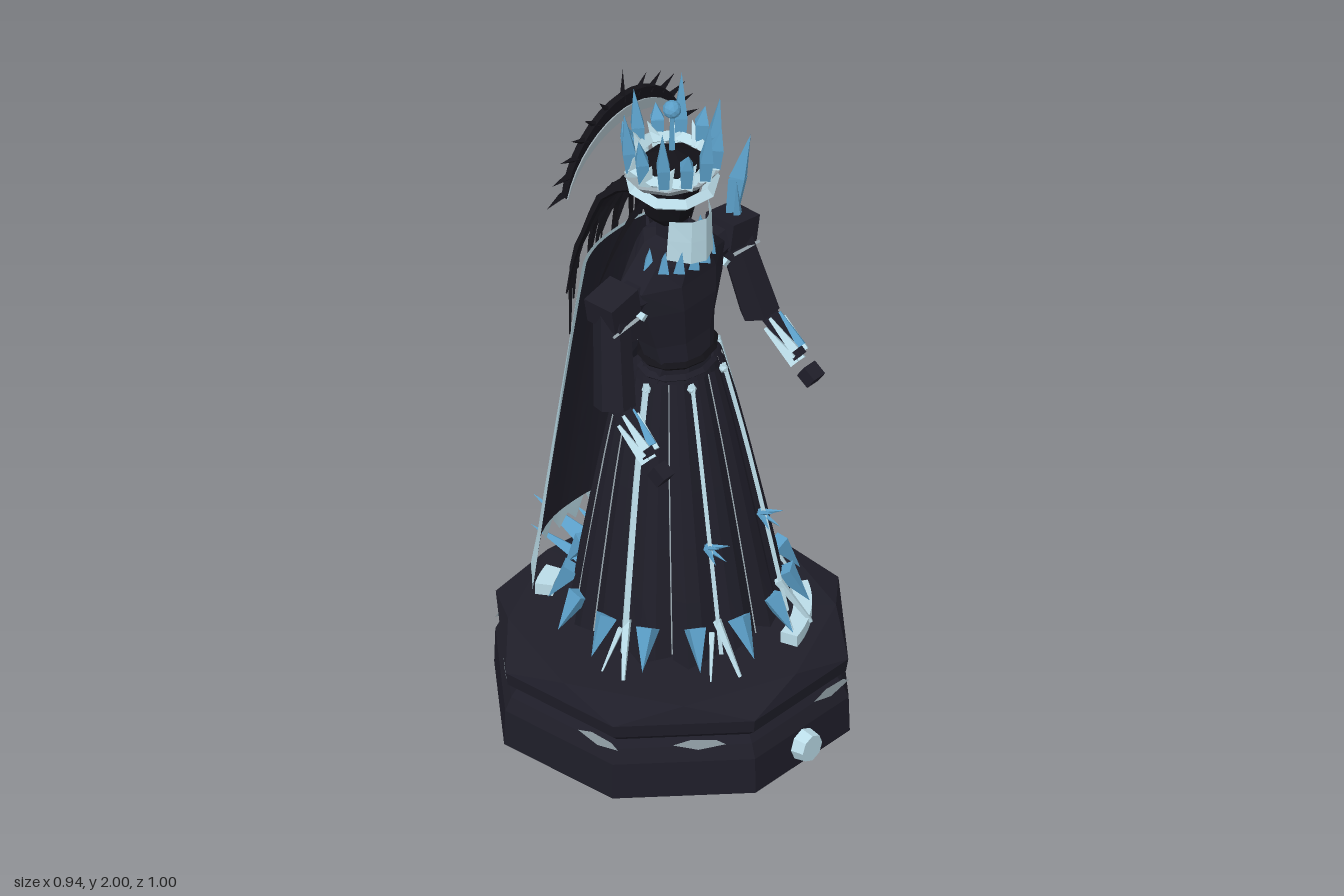
import * as THREE from 'three';

const mat = (name, color, side = THREE.DoubleSide) =>
  new THREE.MeshStandardMaterial({ name, color, side });
const V = (x, y, z) => new THREE.Vector3(x, y, z);
const TAU = Math.PI * 2;

export function createModel() {
  const root = new THREE.Group();
  const dark = mat('darkCloth', 0x1f1e29);
  const black = mat('blackHair', 0x131218);
  const pale = mat('paleIce', 0xbfe1ed);
  const blue = mat('blueIce', 0x5b9fc8, THREE.FrontSide);
  const grey = mat('greyStone', 0x98a6ad);

  let seed = 7;
  const rand = (a = 0, b = 1) => {
    seed = (seed * 16807) % 2147483647;
    return a + (b - a) * (seed / 2147483647);
  };
  const group = (name, parent = root) => {
    const g = new THREE.Group();
    g.name = name;
    parent.add(g);
    return g;
  };
  // Faceted mesh unless smooth is set
  const add = (name, geo, m, parent = root, smooth = false) => {
    if (!smooth && geo.index) geo = geo.toNonIndexed();
    geo.computeVertexNormals();
    const mesh = new THREE.Mesh(geo, m);
    mesh.name = name;
    parent.add(mesh);
    return mesh;
  };
  // Tapered rod from a to b; a zero end radius makes a spike
  const rod = (name, a, b, r1, r2, m, parent, sides = 4) => {
    const d = b.clone().sub(a);
    const mesh = add(name, new THREE.CylinderGeometry(r2, r1, d.length(), sides), m, parent);
    mesh.position.copy(a).add(b).multiplyScalar(0.5);
    mesh.quaternion.setFromUnitVectors(V(0, 1, 0), d.normalize());
    return mesh;
  };
  // Grid surface; fn(u, v) returns a point, u and v run 0..1
  const surface = (fn, nu, nv) => {
    const pos = [], idx = [];
    for (let j = 0; j <= nv; j++) for (let i = 0; i <= nu; i++) pos.push(...fn(i / nu, j / nv, i, j).toArray());
    for (let j = 0; j < nv; j++) for (let i = 0; i < nu; i++) {
      const a = j * (nu + 1) + i, c = a + nu + 1;
      idx.push(a, a + 1, c, a + 1, c + 1, c);
    }
    const g = new THREE.BufferGeometry();
    g.setAttribute('position', new THREE.Float32BufferAttribute(pos, 3));
    g.setIndex(idx);
    return g;
  };
  // Stack of elliptical rings [y, rx, rz, centreZ, twist], bottom to top
  const loft = (rings, n) => surface((u, v, i, j) => {
    const [y, rx, rz, cz, twist = 0] = rings[j], a = u * TAU + Math.PI / n + twist;
    return V(rx * Math.sin(a), y, cz + rz * Math.cos(a));
  }, n, rings.length - 1);
  // Octagonal stack given by [face distance, y, twist]
  const octagon = pts => loft(pts.map(([r, y, t = 0]) => [y, r * 1.082, r * 1.082, 0, t]), 8);

  // Plinth: dark stone shell, hollow and pale underneath
  const base = group('plinth');
  const half = Math.PI / 8;
  add('plinthShell', octagon([[0.43, 0], [0.47, 0], [0.467, 0.11], [0.45, 0.15], [0.435, 0.172],
    [0.46, 0.195], [0.466, 0.235], [0.412, 0.28, half], [0, 0.285, half]]), dark, base);
  add('plinthHollow', octagon([[0, 0.262], [0.3, 0.26], [0.39, 0.245], [0.42, 0.2], [0.415, 0.16],
    [0.425, 0.12], [0.43, 0]]), pale, base, true);
  for (let k = 0; k < 8; k++) {
    const pivot = group('plinthCrack', base);
    pivot.rotation.y = k * TAU / 8;
    const s = new THREE.Shape([[-0.07, 0], [-0.02, 0.016], [0.05, 0.012], [0.075, -0.003], [0, -0.018]]
      .map(p => new THREE.Vector2(...p)));
    add('crack', new THREE.ShapeGeometry(s), grey, pivot).position.set(k % 2 ? 0.04 : 0.13, 0.16, 0.458);
  }
  rod('rosette', V(0, 0.06, 0.45), V(0, 0.06, 0.505), 0.05, 0.04, pale, base, 8);
  // Curved ice slabs lying on the plinth
  for (const [start, len] of [[0.25, 0.72], [1.95, 0.42], [3.4, 0.25]]) {
    const s = new THREE.Shape();
    s.absarc(0, 0, 0.38, start, start + len, false);
    s.absarc(0, 0, 0.33, start + len, start, true);
    const g = new THREE.ExtrudeGeometry(s, { depth: 0.035, bevelEnabled: false, curveSegments: 6 });
    g.rotateX(-Math.PI / 2).rotateY(-Math.PI / 2);
    add('iceSlab', g, pale, base).position.y = 0.283;
  }

  // Skirt: broad panels over a plain core
  const skirt = group('skirt');
  const N = 14;
  const onSkirt = (a, v, out = 0) => {
    const rx = 0.135 + 0.15 * Math.pow(v, 0.85) + out, rz = 0.122 + 0.15 * Math.pow(v, 0.9) + out;
    return V(rx * Math.sin(a), 1.13 - 0.78 * v, 0.005 + 0.02 * v + rz * Math.cos(a));
  };
  add('skirtCore', surface((u, v) => onSkirt(u * TAU, 1 - v, -0.012), N * 2, 5), dark, skirt);
  for (let k = 0; k < N; k++) {
    const mid = (k + 0.5) * TAU / N, drop = rand(-0.02, 0.03);
    add('skirtPanel', surface((u, v, i) => {
      const p = onSkirt(mid + (u - 0.5) * TAU / N * 0.97, 1 - v, i === 1 || i === 2 ? 0.008 + 0.012 * (1 - v) : 0);
      if (v === 0) p.y -= drop + (i === 1 ? 0.02 : 0);
      return p;
    }, 3, 5), dark, skirt);
    // Seam trims, bold at the front quarters and hips
    const a = k * TAU / N, fromFront = Math.min(k, N - k);
    const bold = fromFront === 1 || fromFront === 3;
    const w = fromFront === 3 ? 0.011 : bold ? 0.008 : 0.0025;
    const path = [0, 0.3, 0.65, 1].map(v => onSkirt(a, v, bold ? 0.016 + 0.012 * v : 0.004));
    add('seamTrim', new THREE.TubeGeometry(new THREE.CatmullRomCurve3(path), 8, w, 4), bold ? pale : grey, skirt);
    if (bold) {
      rod('trimFoot', onSkirt(a, 0.88, 0.02), onSkirt(a + 0.08, 1.06, 0.08), 0.014, 0.006, pale, skirt);
      rod('trimFoot', onSkirt(a - 0.06, 0.92, 0.02), onSkirt(a - 0.14, 1.07, 0.06), 0.01, 0.003, pale, skirt);
      add('trimStud', new THREE.IcosahedronGeometry(0.014, 0), pale, skirt).position.copy(onSkirt(a, 0.02, 0.01));
    }
    // Hem shards
    rod('hemShard', onSkirt(mid, 0.89, 0.025), onSkirt(mid, 1.02, 0.075), 0.034, 0, blue, skirt);
  }
  for (const s of [-1, 1]) for (let k = 0; k < 4; k++) {
    const o = onSkirt(s * 0.47, 0.61, 0.01), a = k * TAU / 4 + 0.5;
    rod('skirtThorn', o, o.clone().add(V(0.035 * Math.cos(a), 0.035 * Math.sin(a), 0.06)), 0.011, 0, blue, skirt);
  }
  // Large shards trailing behind
  for (const [x, z, y, r] of [[0, -0.5, 0.44, 0.045], [-0.08, -0.44, 0.41, 0.028], [0.08, -0.42, 0.40, 0.028]])
    rod('trailShard', V(x * 0.7, 0.36, -0.25), V(x, y, z), r, 0, blue, skirt);

  // Torso, belt and neck
  const body = group('torso');
  add('bodice', loft([[1.1, 0.13, 0.11, 0], [1.17, 0.115, 0.075, 0.03], [1.24, 0.13, 0.085, 0.015],
    [1.36, 0.17, 0.105, 0.005], [1.44, 0.185, 0.105, 0], [1.5, 0.125, 0.1, 0.005], [1.54, 0.09, 0.085, 0.005],
    [1.55, 0.05, 0.045, 0], [1.62, 0.05, 0.045, 0]], 8), dark, body);
  for (const y of [1.14, 1.18]) {
    const belt = add('belt', new THREE.TorusGeometry(0.115, 0.013, 4, 12), y > 1.15 ? black : dark, body);
    belt.rotation.x = Math.PI / 2 + 0.08;
    belt.scale.y = 0.78;
    belt.position.set(0, y, 0.02);
  }
  rod('backThorn', V(0, 1.42, -0.07), V(0.04, 1.55, -0.13), 0.02, 0, dark, body);
  for (let k = 0; k < 8; k++) {
    const a = (k - 3.5) * 0.42;
    rod('collarShard', V(0.108 * Math.sin(a), 1.485, 0.1 * Math.cos(a)),
      V(0.105 * Math.sin(a), 1.55, 0.112 * Math.cos(a)), 0.022, 0, blue, body);
  }
  for (const s of [-1, 1]) rod('sideClasp', V(s * 0.17, 1.37, 0.05), V(s * 0.175, 1.39, -0.04), 0.014, 0.006, pale, body);
  // Tall pale mask plate in front of the face
  add('maskPlate', surface((u, v) => {
    const x = (u - 0.5) * 2;
    return V(x * (0.092 - 0.012 * v), 1.525 + 0.12 * v - 0.02 * (1 - v) * (1 - x * x), 0.124 - 0.065 * x * x);
  }, 4, 2), pale, body);

  // Arms
  for (const s of [-1, 1]) {
    const arm = group(s > 0 ? 'leftArm' : 'rightArm');
    const pad = add('shoulderPad', new THREE.BoxGeometry(0.11, 0.08, 0.1), dark, arm);
    pad.position.set(s * 0.245, 1.43, 0);
    pad.rotation.z = -s * 0.18;
    rod('shoulderLink', V(s * 0.13, 1.41, 0), V(s * 0.23, 1.42, 0), 0.05, 0.045, dark, arm, 6);
    rod('padTrim', V(s * 0.2, 1.385, 0.052), V(s * 0.3, 1.375, 0.052), 0.007, 0.005, grey, arm);
    rod('sleeve', V(s * 0.25, 1.42, 0), V(s * 0.3, 1.15, 0.055), 0.05, 0.058, dark, arm, 6);
    rod('forearm', V(s * 0.3, 1.16, 0.07), V(s * 0.31, 1.05, 0.19), 0.028, 0.022, dark, arm, 5);
    for (let k = 0; k < 6; k++) {
      const a = k * TAU / 6, dx = 0.026 * Math.cos(a), dy = 0.026 * Math.sin(a);
      rod('cuffShard', V(s * 0.308 + dx, 1.055 + dy, 0.185), V(s * 0.303 + dx * 1.5, 1.13 + dy, 0.105),
        0.018, 0.006, k === 1 ? blue : pale, arm);
    }
    const hand = add('hand', new THREE.BoxGeometry(0.045, 0.045, 0.045), dark, arm);
    hand.position.set(s * 0.31, 1.01, 0.23);
    hand.rotation.x = 0.6;
  }
  // Large flat shard growing from the left shoulder
  const shoulderShards = [
    rod('shoulderShard', V(0.255, 1.44, -0.01), V(0.295, 1.555, -0.02), 0.025, 0.042, blue),
    rod('shoulderShardTip', V(0.295, 1.555, -0.02), V(0.36, 1.66, -0.03), 0.042, 0, blue),
    rod('shoulderSliver', V(0.26, 1.45, 0.01), V(0.255, 1.58, 0.01), 0.02, 0, blue)];
  for (const m of shoulderShards) m.scale.z = 0.55;

  // Cape: pale outside and at the edges, dark lining, ragged hem
  const capePoint = (u, v, i) => {
    const x = (u - 0.5) * 2, d = 1 - v;
    const hem = v === 0 ? (i % 2 ? 0.05 + 0.02 * Math.sin(i * 2) : 0) : 0;
    return V(-x * (0.2 + 0.1 * Math.pow(d, 0.9)), 1.46 - 1.06 * d + hem,
      -0.15 - 0.09 * d - (0.055 + 0.08 * Math.pow(d, 0.8)) * (1 - Math.pow(Math.abs(x), 2.5)));
  };
  add('cape', surface(capePoint, 18, 8), pale, root, true);
  add('capeLining', surface((u, v) => capePoint(0.06 + 0.88 * u, 0.08 + 0.92 * v, 0).add(V(0, 0, 0.01)), 18, 8), dark);

  // Head and hair
  const head = group('head');
  add('skull', loft([[1.57, 0.03, 0.035, 0], [1.62, 0.075, 0.065, -0.01], [1.7, 0.095, 0.085, -0.01],
    [1.78, 0.09, 0.085, 0], [1.82, 0.01, 0.01, 0]], 8), black, head);
  const strand = (pts, r) => {
    const curve = new THREE.CatmullRomCurve3(pts), n = 8, sides = 4;
    const g = new THREE.TubeGeometry(curve, n, r, sides), p = g.attributes.position, q = V(0, 0, 0);
    for (let i = 0; i < p.count; i++) {
      const t = Math.floor(i / (sides + 1)) / n;
      q.fromBufferAttribute(p, i).lerp(curve.getPointAt(t), t * 0.85);
      p.setXYZ(i, q.x, q.y, q.z);
    }
    add('hairStrand', g, black, head);
  };
  for (let k = 0; k < 15; k++) {
    const x = (k - 7) / 7, j = rand(-0.02, 0.02), end = rand(1.18, 1.42);
    strand([V(x * 0.08, 1.71, -0.06), V(x * 0.12 + j, 1.68, -0.13), V(x * 0.16 + j, 1.58, -0.2 + 0.04 * x * x),
      V(x * 0.185 - j, 1.46, -0.235 + 0.04 * x * x), V(x * 0.2, end, -0.255 + 0.05 * x * x)], 0.016);
  }
  for (const s of [-1, 1]) strand([V(s * 0.085, 1.71, 0), V(s * 0.125, 1.65, -0.03), V(s * 0.165, 1.55, -0.06), V(s * 0.185, 1.42, -0.1)], 0.012);

  // Crown: tilted pale bands, blue spikes and an orb
  const crown = group('crown');
  [[1.718, 0.09], [1.748, -0.1], [1.78, 0.05]].forEach(([y, tilt], i) => {
    const band = add('crownBand', new THREE.TorusGeometry(0.112, 0.02, 4, 9).rotateX(Math.PI / 2), i === 1 ? grey : pale, crown);
    band.position.y = y;
    band.rotation.set(tilt, i, tilt * 0.6);
  });
  for (let k = 0; k < 12; k++) {
    const a = k * TAU / 12, h = k % 2 ? rand(1.88, 1.92) : rand(1.94, 1.98), x = Math.sin(a), z = Math.cos(a);
    const kink = V(0.124 * x, 1.84, 0.124 * z);
    rod('crownSpike', V(0.118 * x, 1.775, 0.118 * z), kink, 0.02, 0.025, blue, crown);
    rod('crownSpikeTip', kink, V(0.138 * x, h, 0.138 * z), 0.025, 0, blue, crown);
    rod('crownShard', V(0.11 * x, 1.77, 0.11 * z), V(0.122 * Math.sin(a + 0.26), 1.84, 0.122 * Math.cos(a + 0.26)), 0.028, 0, pale, crown);
  }
  add('crownOrb', new THREE.IcosahedronGeometry(0.026, 1), blue, crown).position.set(0, 1.95, 0);
  rod('orbStem', V(0, 1.8, 0), V(0, 1.94, 0), 0.012, 0.006, blue, crown);

  // Thorned crescent behind the crown, pale along its inner front
  const halo = group('crescent');
  halo.position.set(0, 1.635, -0.188);
  const arc = (t, r) => new THREE.Vector2(r * Math.sin(t), r * Math.cos(t));
  const crescent = (inner, outer) => {
    const pts = [], M = 16, T = 1.3;
    const edge = (i, r) => {
      const t = -T + 2 * T * i / M;
      return arc(t, 0.25 + r * Math.cos(t / T * Math.PI / 2));
    };
    for (let i = 0; i <= M; i++) pts.push(edge(i, outer));
    for (let i = M - 1; i > 0; i--) pts.push(edge(i, inner));
    return new THREE.Shape(pts);
  };
  add('crescentBand', new THREE.ExtrudeGeometry(crescent(-0.035, 0.032), { depth: 0.02, bevelEnabled: false }), black, halo);
  add('crescentEdge', new THREE.ExtrudeGeometry(crescent(-0.04, -0.006), { depth: 0.008, bevelEnabled: false }), grey, halo)
    .position.z = 0.016;
  for (let k = -6; k <= 6; k++) {
    const t = k * 0.21, a = arc(t, 0.26), b = arc(t + Math.sign(k) * 0.1, k ? 0.32 : 0.365);
    rod('crescentThorn', V(a.x, a.y, 0.011), V(b.x, b.y, 0.011), 0.012, 0, black, halo);
  }
  return root;
}
